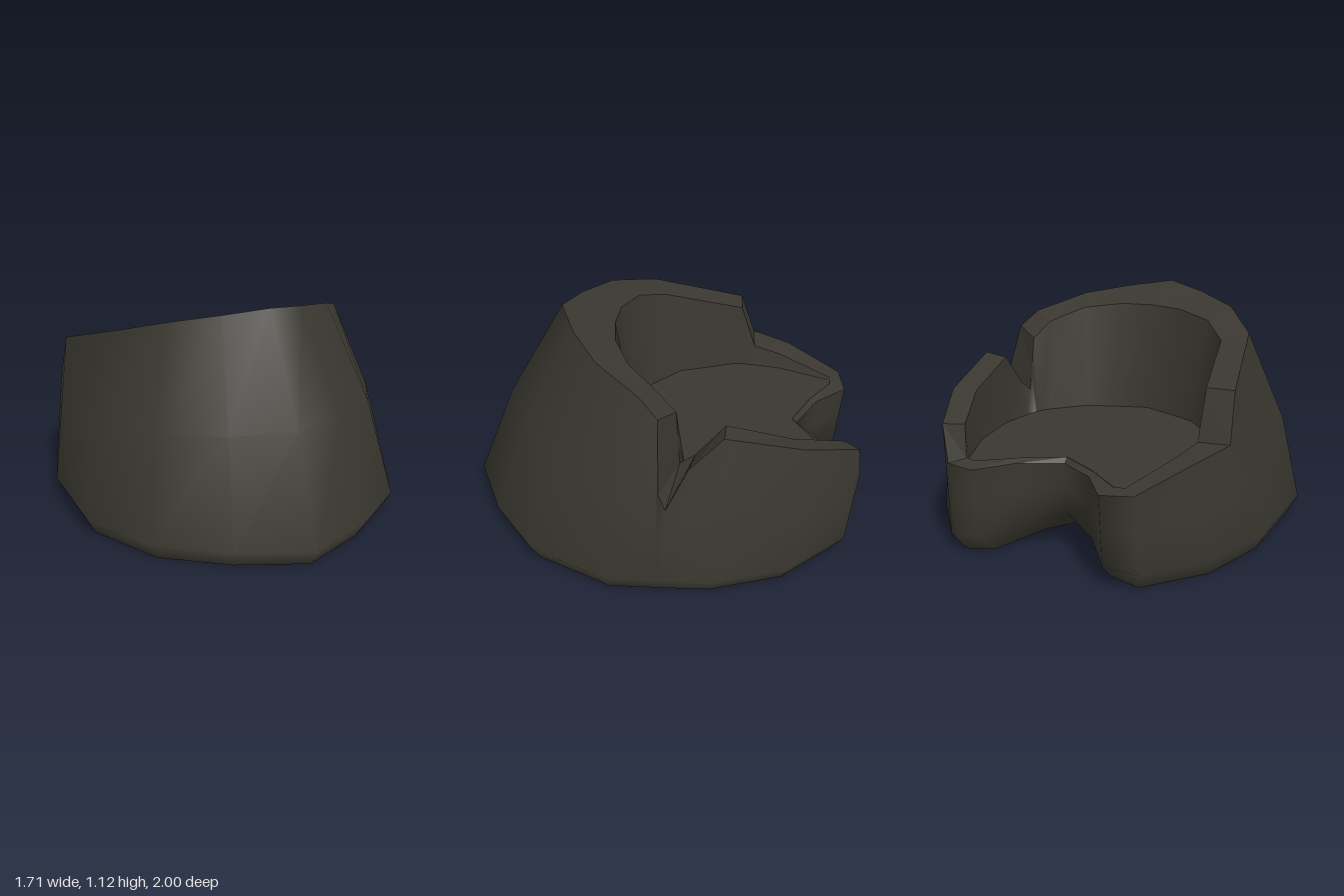
import * as THREE from 'three';

// Each column runs up the wall: foot [x, z, arch], outer rim [x, y, z], inner rim [x, y, z], floor [x, z]
// arch (0 to 1) raises the foot and hollows the sole under the heel notch
const front = [
  [[0, 1, 0], [0, 1.12, 0.5], [0, 1.03, 0.235], [0, 0.18]],
  [[0.35, 0.85, 0], [0.21, 1.09, 0.42], [0.17, 1.025, 0.22], [0.15, 0.13]],
  [[0.66, 0.62, 0], [0.43, 1.05, 0.29], [0.36, 1.0, 0.14], [0.31, 0.07]],
  [[0.855, 0.23, 0], [0.61, 0.975, 0.07], [0.49, 0.94, 0.0], [0.46, -0.08]],
];
// Left side (+x): a groove cut through the rim, then a high rim that drops at the heel
const leftSide = [
  [[0.857, 0.0, 0], [0.67, 0.9, -0.016], [0.54, 0.86, -0.095], [0.49, -0.13]],
  [[0.857, -0.02, 0], [0.78, 0.56, -0.022], [0.555, 0.68, -0.105], [0.5, -0.145]],
  [[0.857, -0.055, 0], [0.8, 0.48, -0.057], [0.56, 0.58, -0.115], [0.505, -0.16]],
  [[0.857, -0.13, 0], [0.745, 0.68, -0.16], [0.565, 0.64, -0.19], [0.52, -0.22]],
  [[0.855, -0.29, 0], [0.69, 0.82, -0.32], [0.565, 0.81, -0.33], [0.545, -0.38]],
  [[0.74, -0.67, 0], [0.63, 0.73, -0.7], [0.53, 0.72, -0.65], [0.51, -0.65]],
  [[0.5, -0.95, 0], [0.5, 0.65, -0.968], [0.42, 0.64, -0.905], [0.415, -0.89]],
  [[0.46, -0.96, 0], [0.46, 0.47, -0.995], [0.41, 0.48, -0.92], [0.405, -0.91]],
];
// Right side (-x, mirrored below): the rim steps down halfway along
const rightSide = [
  [[0.855, -0.29, 0], [0.725, 0.825, -0.42], [0.585, 0.82, -0.42], [0.56, -0.4]],
  [[0.81, -0.45, 0], [0.74, 0.59, -0.5], [0.58, 0.58, -0.5], [0.55, -0.5]],
  [[0.74, -0.67, 0], [0.66, 0.56, -0.7], [0.54, 0.55, -0.65], [0.52, -0.65]],
  [[0.5, -0.95, 0], [0.49, 0.475, -0.98], [0.42, 0.48, -0.92], [0.41, -0.91]],
];
// Low rim around the heel notch
const heel = [
  [[0.33, -0.97, 0.15], [0.33, 0.46, -1.0], [0.36, 0.475, -0.92], [0.36, -0.91]],
  [[0.19, -0.81, 0.6], [0.19, 0.46, -0.83], [0.2, 0.475, -0.8], [0.2, -0.79]],
];
const notch = [[0, -0.7, 1], [0, 0.45, -0.715], [0, 0.475, -0.69], [0, -0.68]];

const FLOOR_Y = 0.47;
const mirror = (col) => col.map(([x, ...rest]) => [-x, ...rest]);

// Strip of quads between successive closed rings
function loft(rings, flat) {
  const n = rings[0].length;
  const index = [];
  for (let r = 0; r < rings.length - 1; r++) {
    for (let i = 0; i < n; i++) {
      const j = (i + 1) % n;
      const a = r * n + i, b = r * n + j;
      index.push(a, b, b + n, a, b + n, a + n);
    }
  }
  return finish(rings.flat(), index, flat);
}

// Cap over one ring, facing up or down
function cap(ring, up) {
  const outline = ring.map((p) => new THREE.Vector2(p[0], -p[2]));
  const index = THREE.ShapeUtils.triangulateShape(outline, [])
    .flatMap(([a, b, c]) => (up ? [a, b, c] : [a, c, b]));
  return finish(ring, index, false);
}

function finish(points, index, flat) {
  let geo = new THREE.BufferGeometry();
  geo.setAttribute('position', new THREE.Float32BufferAttribute(points.flat(), 3));
  geo.setIndex(index);
  if (flat) geo = geo.toNonIndexed();
  geo.computeVertexNormals();
  return geo;
}

export function createModel() {
  const group = new THREE.Group();
  group.name = 'hollowHoof';
  const material = new THREE.MeshStandardMaterial({ color: 0x39372f });
  material.name = 'dark olive grey';

  // Full loop: front, down the left side, across the heel, up the right side
  const columns = [
    ...front, ...leftSide, ...heel, notch,
    ...[...front.slice(1), ...rightSide, ...heel].reverse().map(mirror),
  ];

  const foot = columns.map(([[x, z, arch]]) => [x, 0.09 + 0.1 * arch, z]);
  const base = columns.map(([[x, z, arch]]) => [x * 0.945, 0.05 * arch, z * (0.94 - 0.35 * arch)]);
  const outerRim = columns.map((c) => c[1]);
  const innerRim = columns.map((c) => c[2]);
  const floor = columns.map((c) => [c[3][0], FLOOR_Y, c[3][1]]);
  // Front half bulges slightly halfway up the wall
  const middle = foot.map((f, i) => {
    const [x, y, z] = f.map((v, k) => (v + outerRim[i][k]) / 2);
    const bulge = z > 0 ? 1.06 : 1;
    return [x * bulge, y, z * bulge];
  });

  const add = (name, geometry) => {
    const mesh = new THREE.Mesh(geometry, material);
    mesh.name = name;
    group.add(mesh);
  };
  add('outerWall', loft([base, foot, middle, outerRim], false));
  add('rim', loft([outerRim, innerRim], true));
  add('innerWall', loft([innerRim, floor], false));
  add('innerFloor', cap(floor, true));
  add('sole', cap(base, false));
  return group;
}
